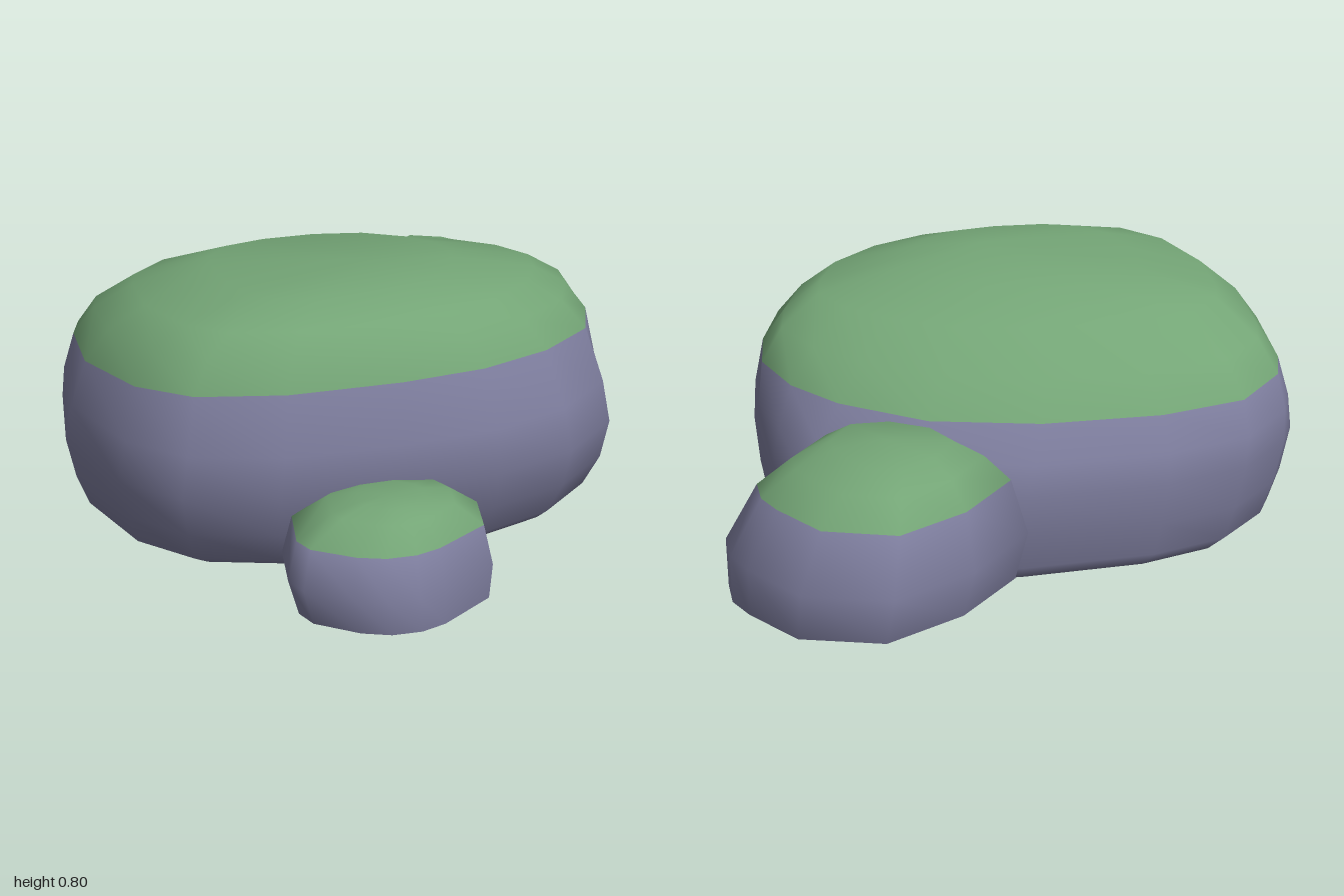
import * as THREE from 'three';

const stone = new THREE.MeshStandardMaterial({ color: 0x7d7d9d, roughness: 0.9 });
const moss = new THREE.MeshStandardMaterial({ color: 0x74a576, roughness: 0.9 });
stone.name = 'stone';
moss.name = 'moss';

// Stacks scaled copies of a footprint (clockwise from above) into a boulder.
// Each ring is [y, slope along z, xMin, xMax, zMin, zMax, blend towards the crown outline];
// moss starts at ring mossFrom.
function boulder(name, outline, rings, top, mossFrom, crown = outline) {
  const n = outline.length;
  const xs = outline.map((p) => p[0]);
  const zs = outline.map((p) => p[1]);
  const x0 = Math.min(...xs), z0 = Math.min(...zs);
  const w = Math.max(...xs) - x0, d = Math.max(...zs) - z0;
  const positions = [], stoneIndex = [], mossIndex = [];

  const addRing = ([y, slope, xa, xb, za, zb, blend = 0]) => {
    outline.forEach(([px, pz], i) => {
      const ox = px + (crown[i][0] - px) * blend;
      const oz = pz + (crown[i][1] - pz) * blend;
      const x = xa + ((ox - x0) / w) * (xb - xa);
      const z = za + ((oz - z0) / d) * (zb - za);
      positions.push(x, y + slope * z, z);
    });
  };
  rings.forEach(addRing);
  const apex = positions.length / 3;
  positions.push(...top);

  // Sides and crown
  for (let r = 0; r < rings.length; r++) {
    const index = r >= mossFrom ? mossIndex : stoneIndex;
    for (let i = 0; i < n; i++) {
      const a = r * n + i, b = r * n + ((i + 1) % n);
      if (r === rings.length - 1) index.push(a, apex, b);
      else index.push(a, a + n, b + n, a, b + n, b);
    }
  }

  // Flat underside with its own vertices, so the bottom edge stays sharp
  const base = positions.length / 3;
  const [y, , xa, xb, za, zb] = rings[0];
  addRing(rings[0]);
  positions.push((xa + xb) / 2, y, (za + zb) / 2);
  for (let i = 0; i < n; i++) stoneIndex.push(base + i, base + ((i + 1) % n), base + n);

  // Normals are shared across the stone and moss border
  const whole = new THREE.BufferGeometry();
  whole.setAttribute('position', new THREE.Float32BufferAttribute(positions, 3));
  whole.setIndex([...stoneIndex, ...mossIndex]);
  whole.computeVertexNormals();

  const group = new THREE.Group();
  group.name = name;
  for (const [part, index, material] of [['Stone', stoneIndex, stone], ['Moss', mossIndex, moss]]) {
    const geometry = new THREE.BufferGeometry();
    geometry.setAttribute('position', whole.getAttribute('position'));
    geometry.setAttribute('normal', whole.getAttribute('normal'));
    geometry.setIndex(index);
    const mesh = new THREE.Mesh(geometry, material);
    mesh.name = name + part;
    group.add(mesh);
  }
  return group;
}

export function createModel() {
  const model = new THREE.Group();
  model.name = 'mossyRocks';

  // Large central rock: its crown slopes down to the back and is fullest at the back right
  model.add(boulder('mainRock',
    [[-0.91, 0], [-0.84, -0.31], [-0.78, -0.41], [-0.6, -0.57], [-0.35, -0.63], [0.07, -0.62],
      [0.4, -0.54], [0.64, -0.33], [0.7, -0.18], [0.7, 0], [0.68, 0.2], [0.62, 0.43],
      [0.43, 0.58], [0.18, 0.65], [-0.12, 0.645], [-0.46, 0.61], [-0.71, 0.5], [-0.84, 0.32]],
    [
      [0, 0, -0.62, 0.38, -0.4, 0.33],
      [0.035, 0, -0.78, 0.62, -0.57, 0.51],
      [0.07, 0, -0.84, 0.65, -0.59, 0.55],
      [0.17, 0, -0.88, 0.69, -0.61, 0.6],
      [0.3, 0, -0.91, 0.7, -0.63, 0.65],
      [0.41, 0.04, -0.89, 0.7, -0.61, 0.65, 0.35],
      [0.54, 0.1, -0.845, 0.685, -0.56, 0.59, 0.75],
      [0.63, 0.1, -0.78, 0.62, -0.48, 0.545, 1],
      [0.71, 0.06, -0.68, 0.5, -0.34, 0.49, 1],
      [0.77, 0.03, -0.46, 0.24, -0.19, 0.37, 1],
    ],
    [-0.02, 0.8, 0.17], 6,
    [[-0.91, 0], [-0.88, -0.31], [-0.84, -0.44], [-0.68, -0.59], [-0.4, -0.63], [-0.05, -0.6],
      [0.27, -0.5], [0.5, -0.33], [0.63, -0.17], [0.7, 0.02], [0.66, 0.18], [0.56, 0.38],
      [0.36, 0.54], [0.13, 0.63], [-0.12, 0.65], [-0.46, 0.61], [-0.71, 0.5], [-0.84, 0.32]]));

  // Medium rock at the back left
  model.add(boulder('backRock',
    [[0.08, -0.67], [0.29, -0.88], [0.54, -1], [0.77, -0.9], [0.87, -0.7], [0.9, -0.6],
      [0.89, -0.48], [0.69, -0.28], [0.42, -0.3], [0.18, -0.45]],
    [
      [0.075, 0, 0.11, 0.9, -0.95, -0.29],
      [0.22, 0, 0.08, 0.905, -1, -0.28],
      [0.37, 0, 0.12, 0.81, -0.92, -0.3],
      [0.44, 0, 0.19, 0.71, -0.84, -0.34],
      [0.485, 0, 0.27, 0.6, -0.76, -0.39],
    ],
    [0.46, 0.5, -0.56], 2));

  // Small rock at the front
  model.add(boulder('frontRock',
    [[0.06, 0.62], [0.1, 0.72], [0.06, 0.88], [-0.12, 0.98], [-0.2, 1], [-0.29, 0.99],
      [-0.37, 0.95], [-0.48, 0.85], [-0.5, 0.78], [-0.46, 0.61], [-0.34, 0.52], [-0.08, 0.52]],
    [
      [0.045, 0, -0.47, 0.09, 0.53, 0.99],
      [0.15, 0, -0.5, 0.1, 0.52, 1],
      [0.26, 0, -0.47, 0.08, 0.54, 0.955],
      [0.315, 0, -0.36, 0, 0.58, 0.88],
      [0.335, 0, -0.28, -0.09, 0.65, 0.82],
    ],
    [-0.2, 0.345, 0.75], 2));

  return model;
}
